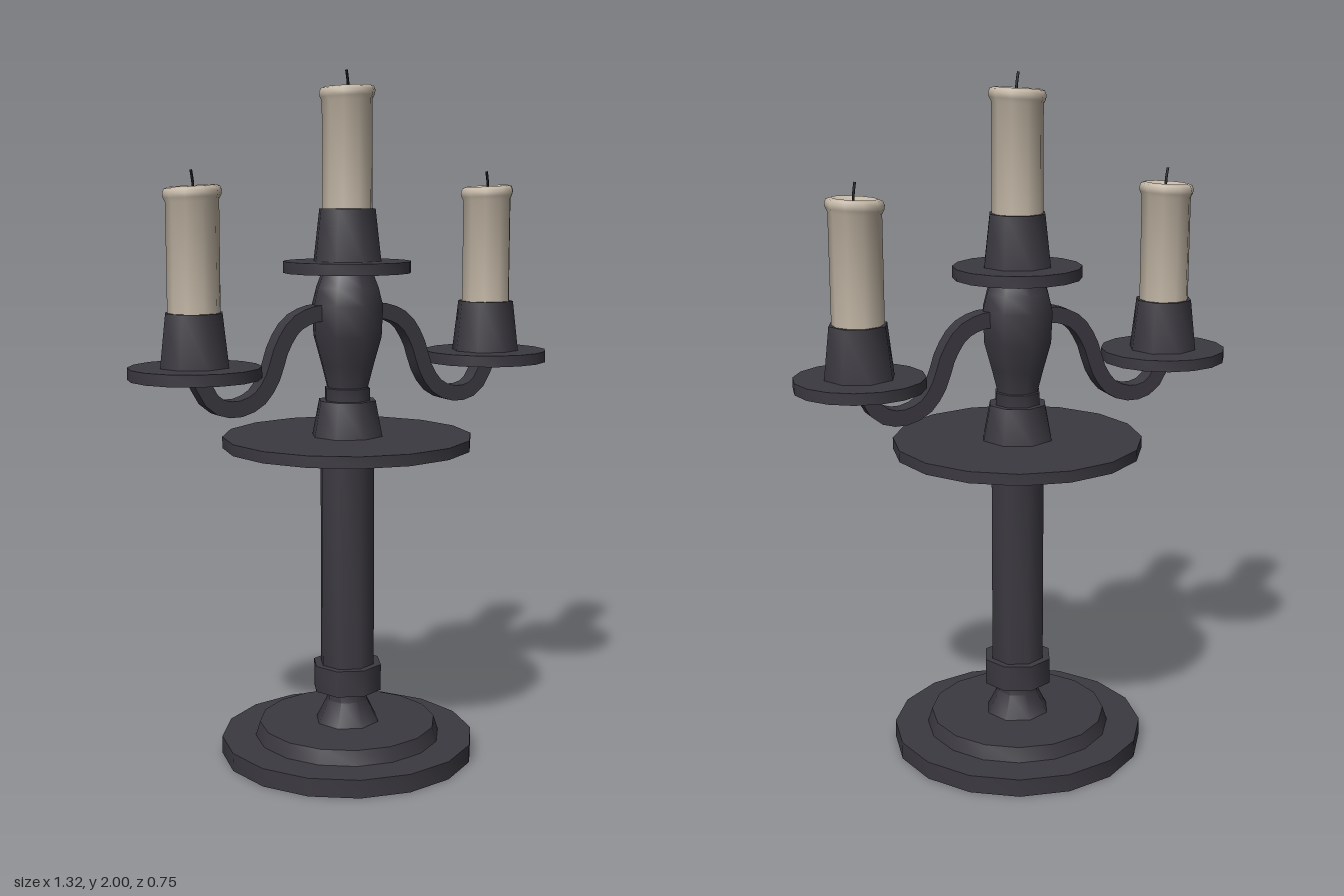
import * as THREE from 'three';
import { toCreasedNormals } from 'three/addons/utils/BufferGeometryUtils.js';

const iron = new THREE.MeshStandardMaterial({ color: 0x3b3940 });
iron.name = 'dark iron';
const wax = new THREE.MeshStandardMaterial({ color: 0xc4b8a7 });
wax.name = 'cream wax';
const char = new THREE.MeshStandardMaterial({ color: 0x1c1a1a });
char.name = 'charred wick';

function mesh(name, geometry, material) {
  const m = new THREE.Mesh(geometry, material);
  m.name = name;
  return m;
}

// Turned part from [radius, height] pairs, bottom to top
function turned(name, profile, sides, material = iron, crease = 0.85) {
  const points = profile.map(([r, y]) => new THREE.Vector2(r, y));
  const geometry = toCreasedNormals(new THREE.LatheGeometry(points, sides), crease);
  return mesh(name, geometry, material);
}

// Drip plate, socket, candle and wick; origin at the underside of the plate
function candleHolder(name) {
  const g = new THREE.Group();
  g.name = name;
  g.add(turned('dripPlate', [[0, 0], [0.185, 0], [0.185, 0.033], [0, 0.033]], 16));
  g.add(turned('candleSocket', [[0, 0.03], [0.102, 0.03], [0.084, 0.182], [0, 0.182]], 8));

  const candle = turned('candle', [
    [0.073, 0.17], [0.073, 0.485], [0.079, 0.497], [0.081, 0.509],
    [0.076, 0.521], [0.064, 0.525], [0.052, 0.514], [0, 0.508],
  ], 10, wax, 1.2);
  // Melted rim sits slightly lopsided
  const p = candle.geometry.attributes.position;
  for (let i = 0; i < p.count; i++) {
    if (p.getY(i) > 0.48) p.setY(i, p.getY(i) + 0.06 * p.getX(i));
  }
  g.add(candle);

  const wickPath = new THREE.CatmullRomCurve3([
    new THREE.Vector3(0.003, 0.5, 0),
    new THREE.Vector3(0.002, 0.535, 0),
    new THREE.Vector3(-0.003, 0.568, 0),
  ]);
  g.add(mesh('wick', new THREE.TubeGeometry(wickPath, 4, 0.004, 5), char));
  return g;
}

// S-shaped arm of rectangular section, made by offsetting a centre line
function arm() {
  const curve = new THREE.SplineCurve([
    [0.06, 1.32], [0.12, 1.317], [0.18, 1.288], [0.222, 1.225], [0.25, 1.145],
    [0.295, 1.085], [0.365, 1.062], [0.43, 1.085], [0.475, 1.165],
  ].map(([x, y]) => new THREE.Vector2(x, y)));
  const upper = [], lower = [];
  const steps = 18, half = 0.023;
  for (let i = 0; i <= steps; i++) {
    const c = curve.getPoint(i / steps);
    const t = curve.getTangent(i / steps);
    upper.push(new THREE.Vector2(c.x - t.y * half, c.y + t.x * half));
    lower.push(new THREE.Vector2(c.x + t.y * half, c.y - t.x * half));
  }
  const shape = new THREE.Shape([...lower, ...upper.reverse()]);
  const geometry = new THREE.ExtrudeGeometry(shape, { depth: 0.052, bevelEnabled: false });
  geometry.translate(0, 0, -0.026);
  return mesh('arm', toCreasedNormals(geometry, 0.6), iron);
}

export function createModel() {
  const model = new THREE.Group();
  model.name = 'candelabra';

  // Stepped foot
  model.add(turned('foot', [[0, 0], [0.375, 0], [0.375, 0.053], [0, 0.053]], 16));
  model.add(turned('footStep', [[0.276, 0.05], [0.262, 0.095], [0, 0.095]], 16));

  // Stem
  model.add(turned('stemNeck', [[0.097, 0.093], [0.062, 0.162], [0.062, 0.2]], 8));
  model.add(turned('stemCollar', [[0, 0.195], [0.104, 0.195], [0.104, 0.273], [0, 0.273]], 8));
  model.add(turned('column', [[0.082, 0.27], [0.082, 0.93]], 8));

  // Wide middle plate with its collar
  model.add(turned('middlePlate', [[0, 0.927], [0.364, 0.927], [0.364, 0.96], [0, 0.96]], 16));
  model.add(turned('plateCollar', [[0.107, 0.958], [0.086, 1.064], [0, 1.064]], 8));

  // Swelling baluster that carries the arms
  model.add(turned('baluster', [
    [0.068, 1.06], [0.068, 1.1], [0.062, 1.102], [0.08, 1.17],
    [0.103, 1.25], [0.107, 1.34], [0.094, 1.39], [0.076, 1.435],
  ], 8));

  const centre = candleHolder('centreCandleHolder');
  centre.position.y = 1.432;
  model.add(centre);

  // Arms and side candles
  for (const [side, sign] of [['left', 1], ['right', -1]]) {
    const a = arm();
    a.name = side + 'Arm';
    if (sign < 0) a.rotation.y = Math.PI;
    model.add(a);
    const holder = candleHolder(side + 'CandleHolder');
    holder.position.set(sign * 0.475, 1.153, 0);
    model.add(holder);
  }
  return model;
}
